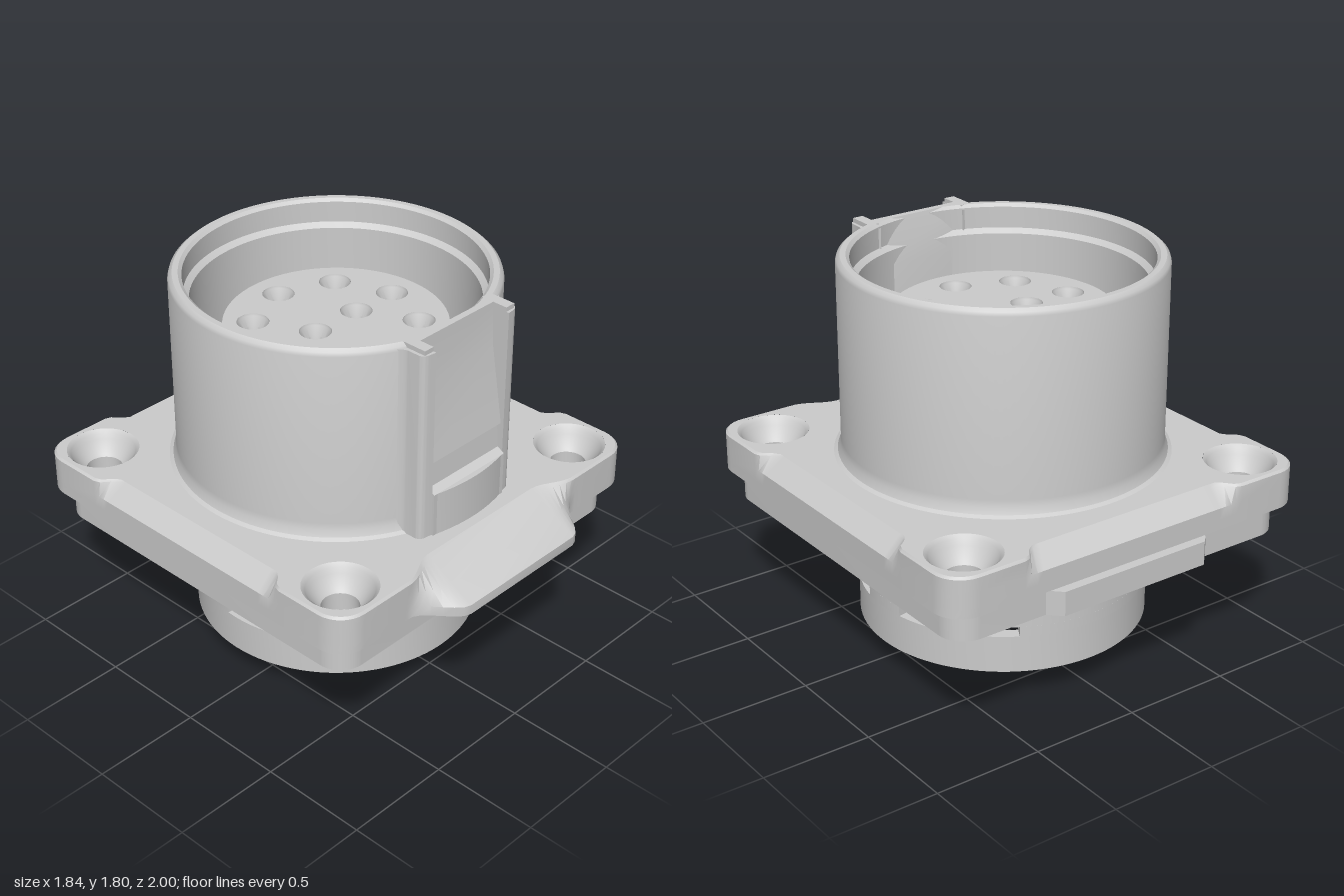
import * as THREE from 'three';
import { toCreasedNormals, mergeVertices } from 'three/addons/utils/BufferGeometryUtils.js';

const ZC = -0.08; // connector axis
const mat = new THREE.MeshStandardMaterial({ color: 0xcccccc });
const matDouble = new THREE.MeshStandardMaterial({ color: 0xcccccc, side: THREE.DoubleSide });
const V = (x, y) => new THREE.Vector2(x, y);

export function createModel() {
  const root = new THREE.Group();
  const body = new THREE.Group(); // everything centred on the connector axis
  body.name = 'connector';
  body.position.z = ZC;
  root.add(body);

  const add = (name, geo, x = 0, y = 0, z = 0, m = mat) => {
    const mesh = new THREE.Mesh(toCreasedNormals(geo, 0.6), m);
    mesh.name = name;
    mesh.position.set(x, y, z);
    body.add(mesh);
    return mesh;
  };
  const lathe = (pts, seg = 96) => new THREE.LatheGeometry(pts.map(p => V(...p)), seg);
  // plan shape (x, -z) raised from y0 to y1
  const raise = (shape, y0, y1, curveSegments = 48) =>
    new THREE.ExtrudeGeometry(shape, { depth: y1 - y0, bevelEnabled: false, curveSegments })
      .rotateX(-Math.PI / 2).translate(0, y0, 0);
  const circle = (r, x = 0, y = 0) => new THREE.Path().absarc(x, y, r, 0, Math.PI * 2, true);
  const disc = r => new THREE.Shape().absarc(0, 0, r, 0, Math.PI * 2, false);
  // ring sector, angles measured from the front towards +x
  const sector = (r0, r1, a0, a1) => {
    const s = new THREE.Shape(), k = Math.PI / 180, b0 = a0 * k - Math.PI / 2, b1 = a1 * k - Math.PI / 2;
    s.absarc(0, 0, r1, b0, b1, false);
    s.absarc(0, 0, r0, b1, b0, true);
    s.closePath();
    return s;
  };
  const roundedSquare = (h, r) => {
    const s = new THREE.Shape();
    for (let k = 0; k < 4; k++) {
      const a = k * Math.PI / 2, sx = k === 0 || k === 3 ? 1 : -1, sy = k < 2 ? 1 : -1;
      s.absarc(sx * (h - r), sy * (h - r), r, a, a + Math.PI / 2, false);
    }
    s.closePath();
    return s;
  };
  const corners = [[-1, -1], [1, -1], [1, 1], [-1, 1]].map(([x, z]) => [x * 0.73, z * 0.73]);
  const drill = (shape, r) => { corners.forEach(([x, y]) => shape.holes.push(circle(r, x, y))); return shape; };

  // Flange: outline lofted upward, with sloped side recesses and a front lip
  const half = [0.79, 0.57, 0.54, 0.51, 0.48, 0.45, 0.42, 0.39, 0.36, 0.33];
  const along = [...half.map(t => -t), ...half.slice().reverse()];
  const outline = (inset, front, side) => {
    const pts = [];
    for (let k = 0; k < 4; k++) {
      const a = k * Math.PI / 2, c = Math.cos(a), s = Math.sin(a);
      const put = (u, v) => pts.push(V(c * u - s * v, s * u + c * v));
      for (const t of along) {
        const w = 1 - (k ? THREE.MathUtils.smoothstep(Math.abs(t), 0.48, 0.56)
          : THREE.MathUtils.smoothstep(Math.abs(t), 0.33, 0.52));
        put(t, -(0.92 - inset + w * (k ? side : front)));
      }
      for (let i = 1; i < 8; i++) {
        const b = -Math.PI / 2 + i * Math.PI / 16;
        put(0.79 + (0.13 - inset) * Math.cos(b), -0.79 + (0.13 - inset) * Math.sin(b));
      }
    }
    return pts;
  };
  const rings = [[0.73, 0, 0.16, 0], [0.775, 0, 0.16, 0], [0.83, 0, 0.06, 0],
    [0.9, 0, -0.06, -0.07], [0.91, 0.01, -0.07, -0.07]];
  const loops = rings.map(([, i, f, s]) => outline(i, f, s));
  const pos = [], idx = [], n = loops[0].length;
  loops.forEach((loop, j) => loop.forEach((p, i) => {
    pos.push(p.x, rings[j][0], -p.y);
    if (!j) return;
    const i2 = (i + 1) % n, a = (j - 1) * n, b = j * n;
    idx.push(a + i, a + i2, b + i2, a + i, b + i2, b + i);
  }));
  const wall = new THREE.BufferGeometry();
  wall.setAttribute('position', new THREE.Float32BufferAttribute(pos, 3));
  wall.setIndex(idx);
  add('flangeEdge', mergeVertices(wall));
  add('flangeTop', new THREE.ShapeGeometry(drill(new THREE.Shape(loops[4]), 0.16), 32).rotateX(-Math.PI / 2), 0, 0.91);
  add('flangeUnderside', new THREE.ShapeGeometry(drill(new THREE.Shape(loops[0].map(p => V(p.x, -p.y))), 0.08), 32)
    .rotateX(Math.PI / 2), 0, 0.73);
  for (const [x, z] of corners)
    add('screwHole', lathe([[0.16, 0.91], [0.143, 0.895], [0.135, 0.87], [0.09, 0.82], [0.08, 0.81], [0.08, 0.73]], 40), x, 0, z);

  // Gasket with rear tab, and the thin spacer above it
  add('gasketSpacer', raise(drill(roundedSquare(0.84, 0.12), 0.078), 0.7, 0.73, 24));
  add('gasket', raise(drill(roundedSquare(0.865, 0.12), 0.078), 0.59, 0.7, 24));
  add('gasketTab', raise(new THREE.Shape([V(-0.44, 0.85), V(0.44, 0.85), V(0.37, 0.92), V(-0.37, 0.92)]), 0.59, 0.7));

  // Barrel, flattened at the front to seat the latch
  const barrel = lathe([[0.745, 0.905], [0.72, 0.92], [0.708, 0.95], [0.705, 0.98], [0.705, 1.77], [0.7, 1.787],
    [0.685, 1.8], [0.66, 1.8], [0.645, 1.787], [0.645, 1.69], [0.62, 1.67], [0.62, 0.92], [0.48, 0.92]], 128);
  const bp = barrel.attributes.position;
  for (let i = 0; i < bp.count; i++) if (bp.getY(i) > 0.96) bp.setZ(i, Math.min(bp.getZ(i), 0.672));
  add('barrel', barrel);

  // Latch housing: rails, lower block and sloped catch
  for (const s of [-1, 1]) {
    const rail = new THREE.Shape();
    rail.moveTo(s * 0.22, -0.6);
    rail.lineTo(s * 0.22, -0.76);
    rail.lineTo(s * 0.255, -0.755);
    rail.quadraticCurveTo(s * 0.285, -0.75, s * 0.285, -0.72);
    rail.lineTo(s * 0.285, -0.67);
    rail.quadraticCurveTo(s * 0.29, -0.645, s * 0.32, -0.62);
    rail.closePath();
    add('latchRail', raise(rail, 0.905, 1.78, 8));
    add('latchRailTop', new THREE.BoxGeometry(0.05, 0.02, 0.13), s * 0.245, 1.79, 0.68);
  }
  const block = new THREE.Shape([V(-0.22, -0.6), V(-0.22, -0.765)]);
  block.quadraticCurveTo(0, -0.825, 0.22, -0.765);
  block.lineTo(0.22, -0.6);
  add('latchBlock', raise(block, 0.905, 1.11, 16));
  const catchSide = new THREE.Shape([[0.6, 0.91], [0.77, 0.91], [0.77, 1.11], [0.735, 1.13], [0.725, 1.25],
    [0.745, 1.25], [0.685, 1.6], [0.675, 1.8], [0.645, 1.8], [0.6, 1.6]].map(p => V(...p)));
  add('latchCatch', new THREE.ExtrudeGeometry(catchSide, { depth: 0.44, bevelEnabled: false })
    .rotateY(-Math.PI / 2).translate(0.22, 0, 0));

  // Contact insert with countersunk sockets
  const contacts = [[0, 0.35], [0, -0.35], [0.35, 0], [-0.35, 0], [0.125, 0], [-0.125, 0],
    [0.25, 0.25], [-0.25, 0.25], [0.25, -0.25], [-0.25, -0.25]];
  const face = disc(0.485);
  contacts.forEach(([x, z]) => face.holes.push(circle(0.07, x, -z)));
  add('contactInsert', raise(face, 0.92, 1.54, 32));
  for (const [x, z] of contacts)
    add('socket', lathe([[0.07, 1.54], [0.068, 1.53], [0.045, 1.49], [0.04, 1.38], [0, 1.38]], 32), x, 0, z);

  // Lower skirt with bayonet slots
  const ring = disc(0.643);
  ring.holes.push(circle(0.585));
  add('skirtUpper', raise(ring, 0.355, 0.59));
  add('skirtLower', raise(ring, 0.14, 0.31));
  for (const [a, b] of [[79, 100], [150, 266], [292, 388]])
    add('skirtBridge', raise(sector(0.585, 0.643, a, b), 0.31, 0.355));
  add('insertShoulder', raise(disc(0.59), 0.42, 0.59));
  add('insertBase', raise(disc(0.5), 0.36, 0.42));

  // Solder-cup pins
  const cup = sector(0.025, 0.042, -110, 110);
  for (const [x, z] of contacts) {
    add('pin', new THREE.CylinderGeometry(0.042, 0.042, 0.25, 24), x * 1.04, 0.245, z * 0.92);
    add('solderCup', raise(cup, Math.abs(x) < 0.1 ? 0.02 : 0, 0.12, 16), x * 1.04, 0, z * 0.92, matDouble);
  }
  return root;
}
